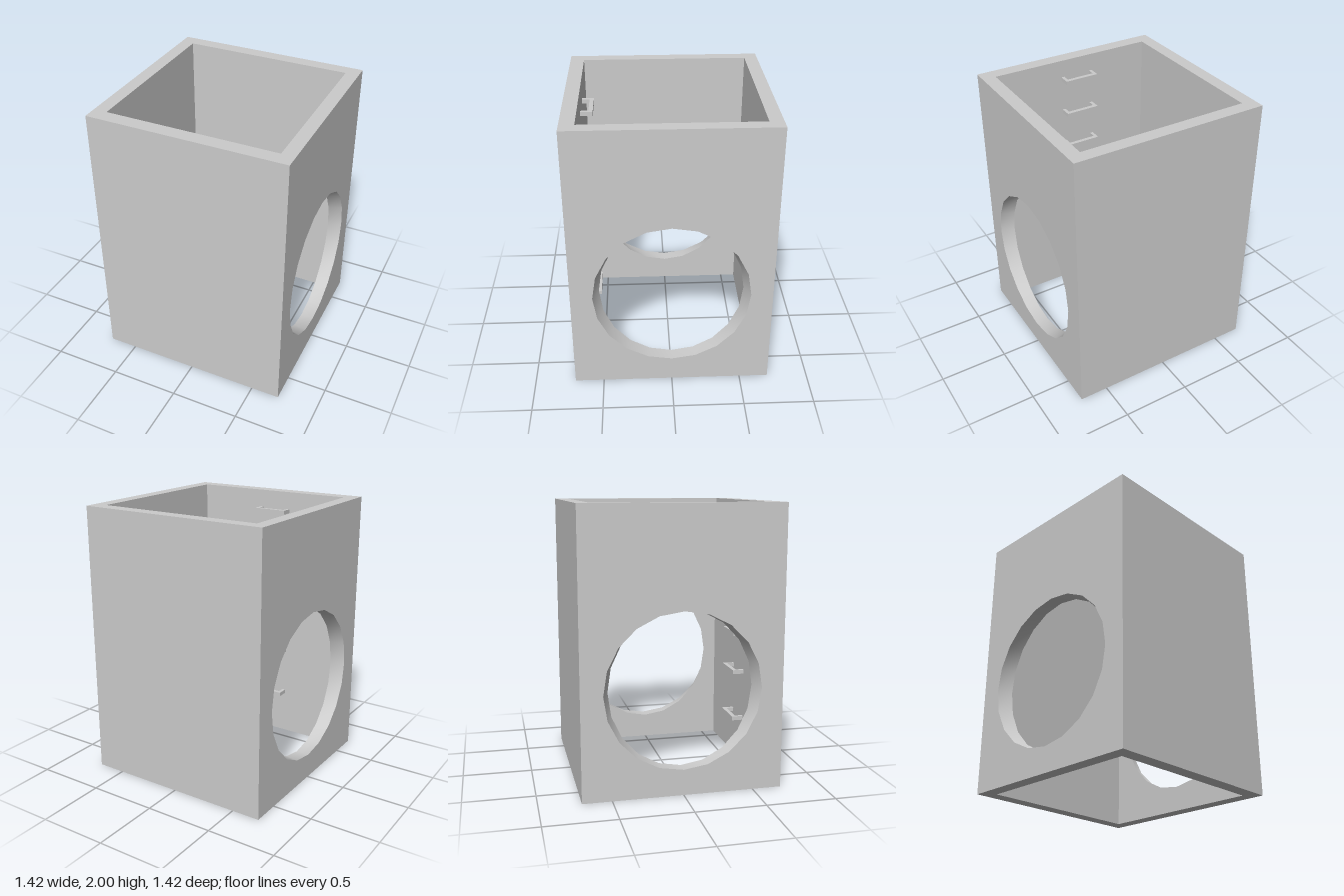
import * as THREE from 'three';
import { toCreasedNormals } from 'three/addons/utils/BufferGeometryUtils.js';

const HALF = 0.708;   // half of the square footprint
const INNER = 0.612;  // half of the shaft opening
const HEIGHT = 2;

const material = new THREE.MeshStandardMaterial({ color: 0xcccccc });

function box(name, x0, x1, y0, y1, z0, z1) {
  const geometry = new THREE.BoxGeometry(x1 - x0, y1 - y0, z1 - z0);
  const mesh = new THREE.Mesh(geometry, material);
  mesh.name = name;
  mesh.position.set((x0 + x1) / 2, (y0 + y1) / 2, (z0 + z1) / 2);
  return mesh;
}

// Side wall with a 20-sided port that narrows sideways towards the inside
function sideWall(name, side) {
  const centreY = 0.737, radius = 0.553, innerWidth = 0.51, sides = 20;
  const shape = new THREE.Shape([
    new THREE.Vector2(-INNER, 0), new THREE.Vector2(INNER, 0),
    new THREE.Vector2(INNER, HEIGHT), new THREE.Vector2(-INNER, HEIGHT),
  ]);
  const port = [];
  for (let i = 0; i < sides; i++) {
    const a = (-i / sides) * Math.PI * 2;
    port.push(new THREE.Vector2(radius * Math.cos(a), centreY + radius * Math.sin(a)));
  }
  shape.holes.push(new THREE.Path(port));

  const geometry = new THREE.ExtrudeGeometry(shape, { depth: HALF - INNER, bevelEnabled: false });
  const p = geometry.attributes.position;
  for (let i = 0; i < p.count; i++) {
    const onInnerRim = p.getZ(i) < 0.001 && Math.abs(p.getX(i)) < radius + 0.01;
    if (onInnerRim) p.setX(i, p.getX(i) * innerWidth / radius);
  }
  geometry.translate(0, 0, INNER);
  geometry.rotateY(side * Math.PI / 2);
  const mesh = new THREE.Mesh(toCreasedNormals(geometry, Math.PI / 6), material);
  mesh.name = name;
  return mesh;
}

// U-shaped step: a bar held off the front wall by two legs
function rung(y) {
  const group = new THREE.Group();
  group.name = 'rung';
  const left = 0.095, right = -0.163, leg = 0.024, h = 0.015;
  const zBar = 0.52, zLeg = 0.55, zWall = 0.606;
  group.add(
    box('rungBar', right, left, y - h, y + h, zBar, zLeg),
    box('rungLeg', right, right + leg, y - h, y + h, zLeg, zWall),
    box('rungLeg', left - leg, left, y - h, y + h, zLeg, zWall),
  );
  return group;
}

export function createModel() {
  const model = new THREE.Group();
  model.name = 'accessChamber';

  // Shaft walls, open at the top and bottom
  model.add(
    box('frontWall', -HALF, HALF, 0, HEIGHT, 0.606, HALF),
    box('backWall', -HALF, HALF, 0, HEIGHT, -HALF, -INNER),
    sideWall('leftWall', 1),
    sideWall('rightWall', -1),
  );

  // Ladder on the inside of the front wall
  const ladder = new THREE.Group();
  ladder.name = 'ladder';
  for (const y of [1.855, 1.59, 1.32, 1.01, 0.715, 0.35]) ladder.add(rung(y));
  model.add(ladder);

  return model;
}
